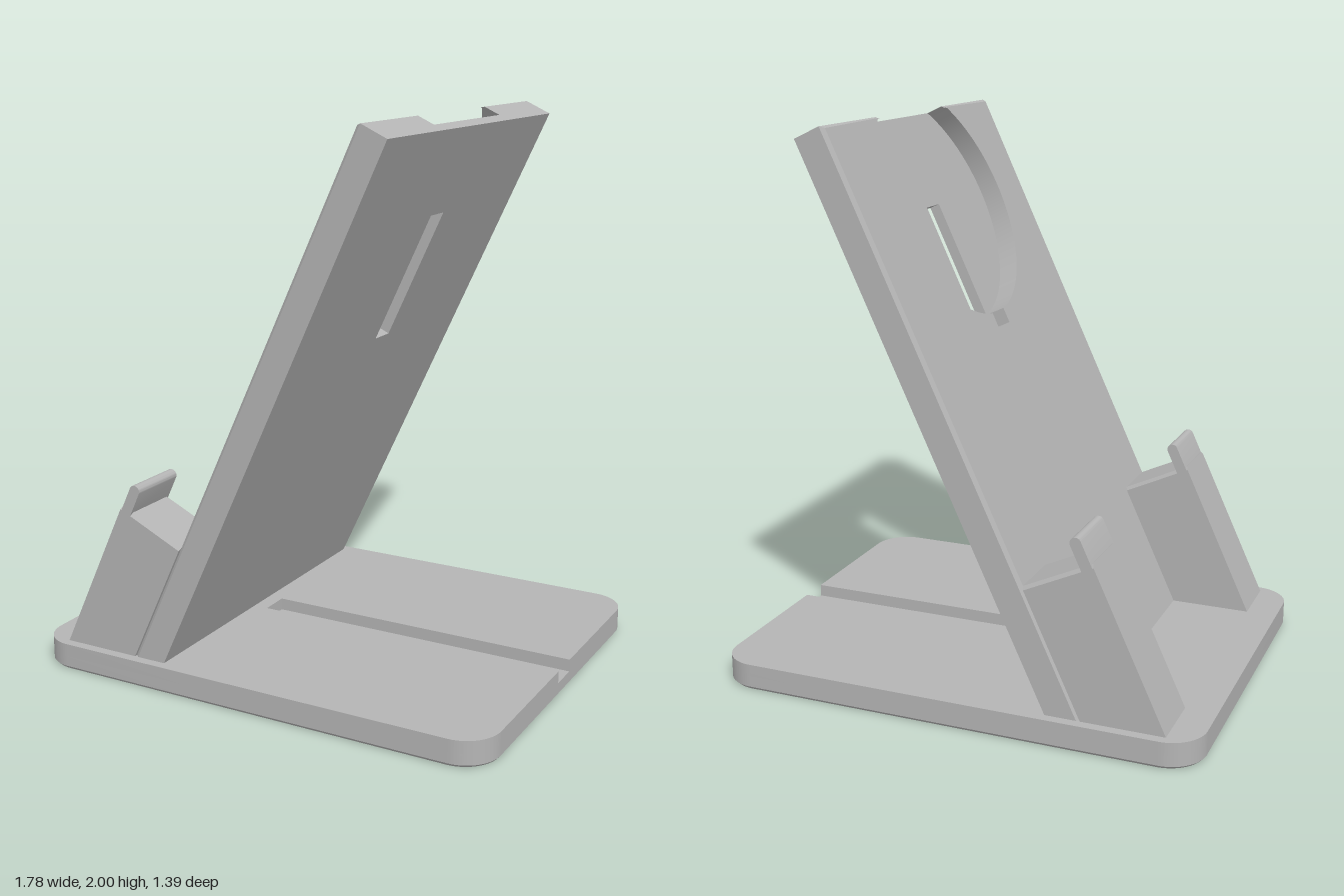
import * as THREE from 'three';
import { toCreasedNormals } from 'three/addons/utils/BufferGeometryUtils.js';

const TILT = THREE.MathUtils.degToRad(25);
const S = Math.sin(TILT), C = Math.cos(TILT);
const FOOT = new THREE.Vector2(-0.48, 0.095); // where the panel's front meets the base
const CH = 0.012; // small edge chamfer

// side-view point: n outward from the panel front, t up along the panel
const side = (n, t) => new THREE.Vector2(FOOT.x + S * t - C * n, FOOT.y + C * t + S * n);

// extrude, then optionally move every vertex by a rule
function extrude(shape, depth, steps = 1, rule = null) {
  const g = new THREE.ExtrudeGeometry(shape, { depth, steps, bevelEnabled: false, curveSegments: 40 });
  if (rule) {
    const p = g.attributes.position, v = new THREE.Vector3();
    for (let i = 0; i < p.count; i++) {
      rule(v.fromBufferAttribute(p, i));
      p.setXYZ(i, v.x, v.y, v.z);
    }
  }
  return toCreasedNormals(g, 0.5);
}

// rounded base outline, with an optional channel open at the +x edge
function baseOutline(channel) {
  const X = 0.888, Y = 0.695, r = 0.13, h = 0.055;
  const s = new THREE.Shape();
  s.absarc(X - r, Y - r, r, 0, Math.PI / 2);
  s.absarc(-X + r, Y - r, r, Math.PI / 2, Math.PI);
  s.absarc(-X + r, -Y + r, r, Math.PI, Math.PI * 1.5);
  s.absarc(X - r, -Y + r, r, Math.PI * 1.5, Math.PI * 2);
  if (channel) {
    s.lineTo(X, -h);
    s.lineTo(-0.3, -h);
    s.lineTo(-0.3, h);
    s.lineTo(X, h);
  }
  return s;
}

export function createModel() {
  const model = new THREE.Group();
  model.name = 'deviceStand';
  const grey = new THREE.MeshStandardMaterial({ color: 0xb4b4b4 });
  grey.name = 'grey';
  const add = (parent, name, geometry) => {
    const m = new THREE.Mesh(geometry, grey);
    m.name = name;
    parent.add(m);
    return m;
  };

  // base: chamfered lower slab and upper slab with the cable channel
  const base = new THREE.Group();
  base.name = 'base';
  base.rotation.x = -Math.PI / 2;
  model.add(base);
  add(base, 'baseLower', extrude(baseOutline(false), 0.05, 2, v => {
    if (v.z < 0.01) {
      v.x *= 1 - 0.008 / 0.888;
      v.y *= 1 - 0.008 / 0.695;
    } else if (v.z < 0.04) v.z = 0.01;
  }));
  add(base, 'baseUpper', extrude(baseOutline(true), 0.045)).position.z = 0.05;

  // leaning panel: x across, y up the slope, z out of its front
  const panel = new THREE.Group();
  panel.name = 'panel';
  panel.position.set(FOOT.x, FOOT.y, 0);
  panel.quaternion.setFromRotationMatrix(new THREE.Matrix4().makeBasis(
    new THREE.Vector3(0, 0, 1), new THREE.Vector3(S, C, 0), new THREE.Vector3(-C, S, 0)));
  model.add(panel);
  const W = 0.66, H = 2.107, R = 0.435, cy = 1.763, slot = 0.05, slotLow = 1.275, slotTop = 1.769;
  const rect = (x, y0, y1, Type) => new Type([[-x, y0], [x, y0], [x, y1], [-x, y1]].map(a => new THREE.Vector2(...a)));

  // back layer with the through slot
  const back = rect(W, 0, H, THREE.Shape);
  back.holes.push(rect(slot, slotLow, slotTop, THREE.Path));
  add(panel, 'panelBack', extrude(back, 0.038)).position.z = -0.113;

  // front layer with the round recess, open at the top
  const a0 = Math.atan2(H - cy, Math.sqrt(R * R - (H - cy) ** 2));
  const da = Math.asin(slot / R);
  const front = new THREE.Shape();
  front.moveTo(-W, 0);
  front.lineTo(W, 0);
  front.lineTo(W, H);
  front.absarc(0, cy, R, a0, -Math.PI / 2 + da, true);
  front.lineTo(slot, slotLow);
  front.lineTo(-slot, slotLow);
  front.absarc(0, cy, R, -Math.PI / 2 - da, -Math.PI - a0, true);
  front.lineTo(-W, H);
  add(panel, 'panelFront', extrude(front, 0.075, 2, v => {
    if (v.z > 0.07) {
      if (Math.abs(v.x) > W - 0.001) v.x -= Math.sign(v.x) * CH;
      if (v.y > H - 0.001) v.y -= CH;
    } else if (v.z > 0.01) v.z = 0.075 - CH;
  })).position.z = -0.075;

  // two support blocks, each with a chamfered shelf and a rounded lip
  const top = 0.488, depth = 0.267, z0 = 0.435, width = 0.225;
  const block = extrude(new THREE.Shape([side(0, 0), side(depth, -0.126), side(depth, top - CH), side(0, top - CH)]), width);
  const shelf = extrude(new THREE.Shape([side(0, top - CH), side(depth, top - CH), side(depth, top), side(0, top)]), width, 1, v => {
    const t = (v.x - FOOT.x) * S + (v.y - FOOT.y) * C;
    if (t > top - CH / 2) v.z += v.z > width / 2 ? -CH : CH;
  });
  const lipPoints = [side(0.222, top - CH), side(0.262, top - CH)];
  for (let i = 0; i <= 10; i++) {
    const a = Math.PI * i / 10;
    lipPoints.push(side(0.242 + 0.02 * Math.cos(a), 0.572 + 0.018 * Math.sin(a)));
  }
  const lip = extrude(new THREE.Shape(lipPoints), width);
  for (const [name, z] of [['left', z0], ['right', -z0 - width]]) {
    const support = new THREE.Group();
    support.name = name === 'left' ? 'frontSupport' : 'rearSupport';
    support.position.z = z;
    model.add(support);
    add(support, 'supportBlock', block);
    add(support, 'supportShelf', shelf);
    add(support, 'supportLip', lip);
  }
  return model;
}
